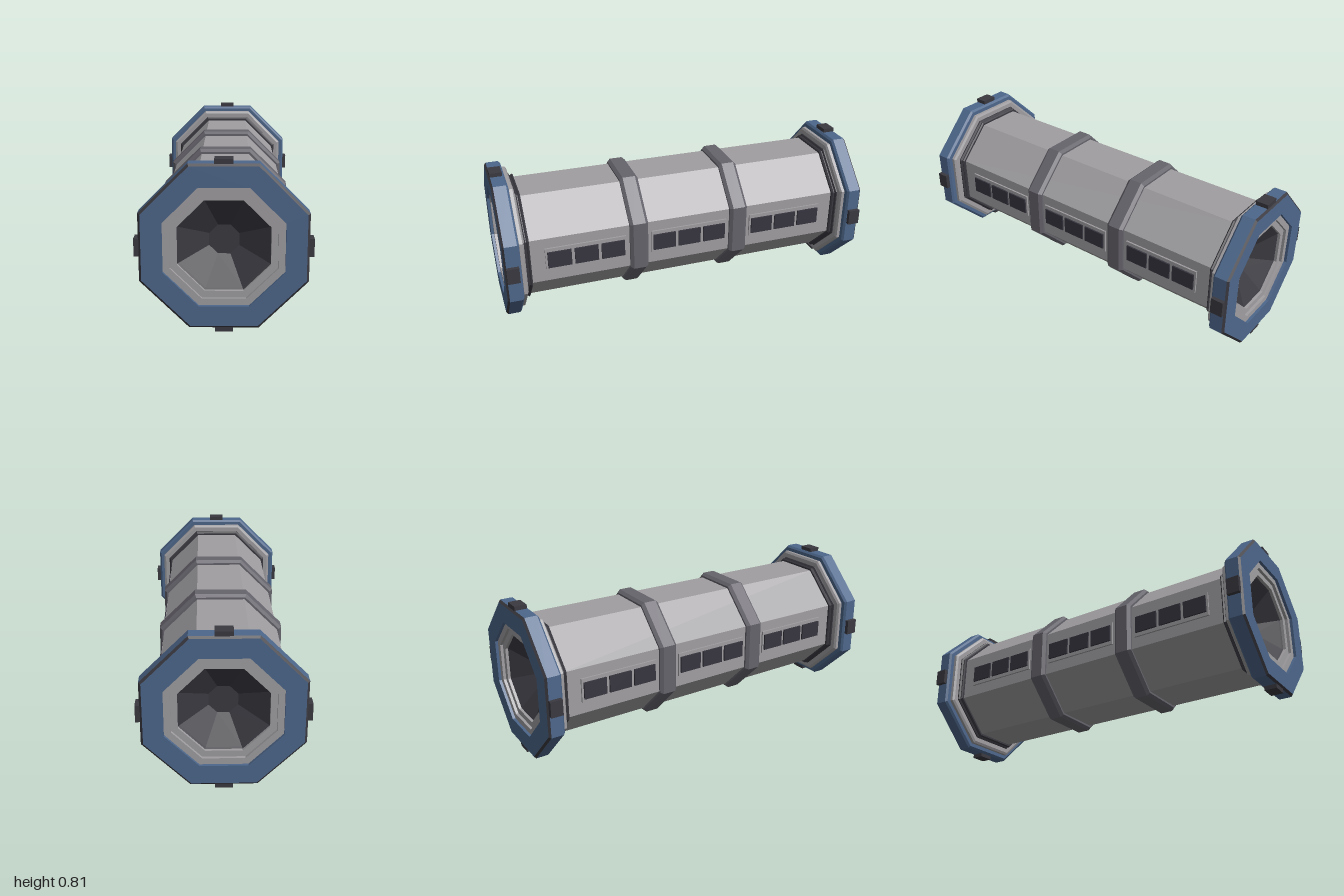
import * as THREE from 'three';

const mat = (name, color) => {
  const m = new THREE.MeshStandardMaterial({ color, flatShading: true });
  m.name = name;
  return m;
};

export function createModel() {
  const hullGrey = mat('hull grey', 0xa09ea1);
  const bandGrey = mat('band grey', 0x66646c);
  const blue = mat('collar blue', 0x4d678b);
  const dark = mat('dark metal', 0x3a3940);
  const glass = mat('window glass', 0x37353f);

  const model = new THREE.Group();
  model.name = 'stationModule';
  const body = new THREE.Group();
  body.name = 'body';
  body.position.y = 0.405;
  model.add(body);

  // Octagonal ring along z from [distance to flat, z] points
  const octagon = (name, profile, material, parent) => {
    const k = 1 / Math.cos(Math.PI / 8);
    const pts = profile.map(([a, z]) => new THREE.Vector2(a * k, z));
    const geo = new THREE.LatheGeometry(pts, 8, Math.PI / 8).rotateX(Math.PI / 2);
    const mesh = new THREE.Mesh(geo, material);
    mesh.name = name;
    parent.add(mesh);
    return mesh;
  };
  const box = (name, size, pos, material, parent) => {
    const mesh = new THREE.Mesh(new THREE.BoxGeometry(...size), material);
    mesh.name = name;
    mesh.position.set(...pos);
    parent.add(mesh);
    return mesh;
  };

  // Main tube
  octagon('hull', [[0.298, -0.875], [0.298, 0.875]], hullGrey, body);

  // Chamfered bands between the three sections
  for (const z of [-0.283, 0.283]) {
    octagon('band', [[0.29, z - 0.05], [0.308, z - 0.05], [0.322, z - 0.034],
      [0.322, z + 0.034], [0.308, z + 0.05], [0.29, z + 0.05]], bandGrey, body);
  }

  // Window strips on both sides, three panes per section
  for (const side of [-1, 1]) {
    for (const z of [-0.568, 0, 0.568]) {
      box('windowFrame', [0.009, 0.13, 0.43], [side * 0.3025, 0.003, z], hullGrey, body);
      for (const dz of [-0.142, 0, 0.142]) {
        box('windowPane', [0.009, 0.09, 0.125], [side * 0.311, 0.003, z + dz], glass, body);
      }
    }
  }

  // Docking ends
  for (const turn of [0, Math.PI]) {
    const end = new THREE.Group();
    end.name = 'dockingEnd';
    end.rotation.y = turn;
    body.add(end);

    octagon('neckSeal', [[0.29, 0.858], [0.308, 0.858], [0.314, 0.865], [0.308, 0.872],
      [0.308, 0.876], [0.318, 0.882], [0.318, 0.89]], dark, end);
    octagon('flange', [[0.28, 0.888], [0.342, 0.888], [0.354, 0.895], [0.354, 0.912],
      [0.34, 0.92]], hullGrey, end);
    octagon('collar', [[0.3, 0.915], [0.373, 0.915], [0.384, 0.925], [0.384, 0.99]], blue, end);
    octagon('collarTrim', [[0.384, 0.99], [0.373, 1]], dark, end);
    octagon('collarFace', [[0.373, 1], [0.277, 1], [0.277, 0.985]], blue, end);
    octagon('portRing', [[0.277, 0.985], [0.245, 0.985], [0.245, 0.97], [0.213, 0.97],
      [0.213, 0.955]], hullGrey, end);
    octagon('portFunnel', [[0.213, 0.955], [0.205, 0.95], [0.07, 0.86], [0, 0.86]], dark, end);

    // Four clamps around the collar
    for (let i = 0; i < 4; i++) {
      const a = (i * Math.PI) / 2;
      const clamp = box('clamp', [0.04, 0.084, 0.064],
        [Math.cos(a) * 0.385, Math.sin(a) * 0.385, 0.96], dark, end);
      clamp.rotation.z = a;
    }
  }
  return model;
}
